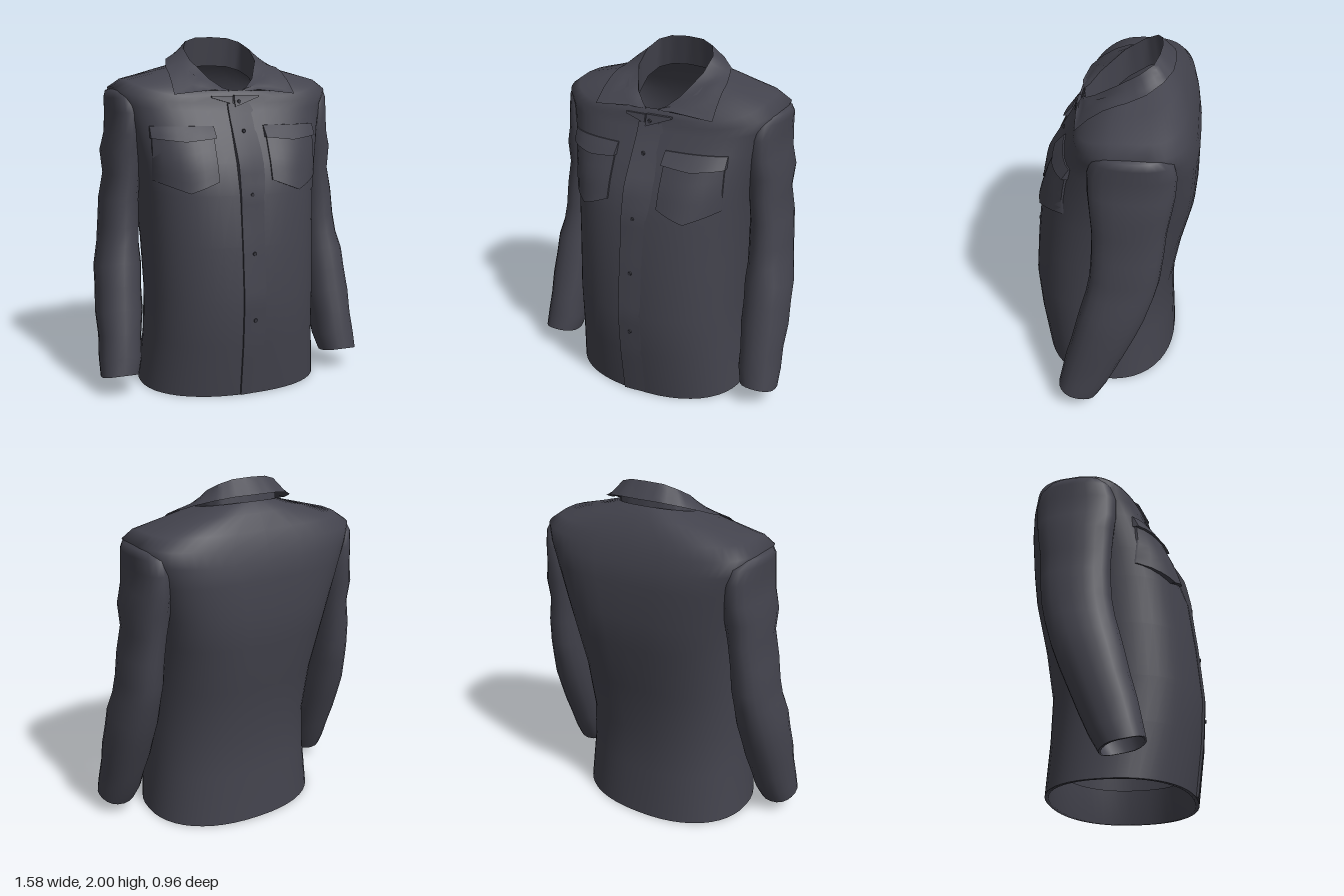
import * as THREE from 'three';
import { toCreasedNormals } from 'three/addons/utils/BufferGeometryUtils.js';

const cloth = new THREE.MeshStandardMaterial({ color: 0x43434d, side: THREE.DoubleSide });
cloth.name = 'charcoal cloth';
const buttonMat = new THREE.MeshStandardMaterial({ color: 0x34343c });
buttonMat.name = 'dark button';

const lerp = THREE.MathUtils.lerp;

// Grid of points (rows of equal length) to an indexed geometry
function gridGeometry(rows, wrap) {
  const n = rows[0].length, idx = [];
  for (let i = 0; i < rows.length - 1; i++) {
    for (let j = 0; j < (wrap ? n : n - 1); j++) {
      const k = (j + 1) % n, a = i * n + j, b = i * n + k, c = a + n, d = b + n;
      idx.push(a, b, d, a, d, c);
    }
  }
  const g = new THREE.BufferGeometry();
  g.setAttribute('position', new THREE.Float32BufferAttribute(rows.flat(2), 3));
  g.setIndex(idx);
  g.computeVertexNormals();
  return g;
}

// Squarish ring: side height, half width, front z, back z, front/back height, front/back roundness
function ring({ y, w, zf, zb, yf = y, yb = y, pf = 1, pb = 1, cx = 0 }, n) {
  const c = (zf + zb) / 2, pts = [];
  for (let j = 0; j < n; j++) {
    const t = (j / n) * Math.PI * 2, s = Math.sin(t), u = Math.cos(t);
    const p = u > 0 ? pf : pb, a = Math.abs(u);
    pts.push([
      cx + w * Math.sign(s) * Math.abs(s) ** p,
      y + ((u > 0 ? yf : yb) - y) * a ** 1.3,
      c + (u > 0 ? zf - c : zb - c) * a ** p,
    ]);
  }
  return pts;
}
const loft = (rings, n) => gridGeometry(rings.map((r) => ring(r, n)), true);

function mesh(name, geometry, material = cloth) {
  const m = new THREE.Mesh(geometry, material);
  m.name = name;
  return m;
}

export function createModel() {
  const jacket = new THREE.Group();
  jacket.name = 'jacket';

  // Body, from hem to neckline
  const body = [
    [0, 0.53, 0.42, -0.39, 0, 0, 0.88, 0.88],
    [0.3, 0.5, 0.46, -0.37, 0.3, 0.3, 0.87, 0.85],
    [0.55, 0.495, 0.476, -0.365, 0.55, 0.55, 0.86, 0.85],
    [0.85, 0.5, 0.45, -0.41, 0.85, 0.85, 0.82, 0.8],
    [1.13, 0.515, 0.415, -0.465, 1.13, 1.13, 0.78, 0.7],
    [1.3, 0.54, 0.36, -0.475, 1.3, 1.3, 0.72, 0.64],
    [1.5, 0.58, 0.275, -0.473, 1.48, 1.5, 0.67, 0.58],
    [1.62, 0.615, 0.22, -0.455, 1.58, 1.6, 0.67, 0.55],
    [1.71, 0.645, 0.205, -0.43, 1.62, 1.68, 0.67, 0.55],
    [1.755, 0.58, 0.195, -0.4, 1.65, 1.75, 0.67, 0.6],
    [1.8, 0.4, 0.19, -0.35, 1.67, 1.83, 0.75, 0.75],
    [1.84, 0.24, 0.175, -0.29, 1.69, 1.88, 0.9, 0.9],
  ].map(([y, w, zf, zb, yf, yb, pf, pb]) => ({ y, w, zf, zb, yf, yb, pf, pb }));
  const torso = mesh('body', loft(body, 48));
  jacket.add(torso);

  // Hem facing on the inside
  const hem = { ...body[0], w: 0.51, zf: 0.4, zb: -0.37 };
  jacket.add(mesh('hemFacing', loft([body[0], hem, { ...hem, w: 0.485, y: 0.2, yf: 0.2, yb: 0.2 }], 48)));

  // Surface probes used to lay details on the body
  const ray = new THREE.Raycaster();
  const probe = (x, y, z, dx, dy, dz) => {
    ray.set(new THREE.Vector3(x, y, z), new THREE.Vector3(dx, dy, dz));
    return ray.intersectObject(torso)[0]?.point;
  };
  const frontZ = (x, y) => {
    const p = probe(x, y, 5, 0, 0, -1);
    return p && p.z > 0 ? p.z : 0.185;
  };
  const topY = (x, z) => probe(x, 5, z, 0, -1, 0)?.y ?? 0;

  // Raised panel following the chest, with turned-down edges
  function panel(name, x0, x1, bottom, top, off, nx = 8, ny = 6) {
    const steps = (n) => [0, ...Array.from({ length: n + 1 }, (_, i) => i / n), 1];
    const us = steps(nx), vs = steps(ny);
    const rows = vs.map((v, i) => us.map((u, j) => {
      const edge = i === 0 || j === 0 || i === vs.length - 1 || j === us.length - 1;
      const x = lerp(x0, x1, u), y = lerp(bottom(u), top(u), v);
      return [x, y, frontZ(x, y) + (edge ? -0.006 : off(u, v))];
    }));
    jacket.add(mesh(name, toCreasedNormals(gridGeometry(rows, false), 0.7)));
  }

  // Front overlap, standing away a little at the chest and fading into the body
  panel('buttonPlacket', -0.062, 0.12, () => 0.003, () => 1.62,
    (u, v) => (1 - u) * (0.014 + 0.022 * Math.exp(-(((v - 0.8) / 0.09) ** 2))) - 0.005 * u, 6, 30);

  // Chest pockets with flaps
  for (const [side, cx] of [['left', 0.297], ['right', -0.332]]) {
    const tent = (u) => 1 - Math.abs(2 * u - 1);
    panel(side + 'Pocket', cx - 0.16, cx + 0.16, (u) => 1.205 - 0.06 * tent(u), () => 1.45,
      (u, v) => 0.012 + 0.02 * Math.sin(Math.PI * u) * (1 - v * 0.6));
    panel(side + 'PocketFlap', cx - 0.168, cx + 0.168, (u) => 1.435 - 0.018 * tent(u), () => 1.5,
      (u, v) => 0.008 + 0.026 * (1 - v), 8, 3);
  }

  // Small lapels under the collar
  panel('leftLapel', -0.02, 0.13, (u) => 1.6 + 0.055 * u, () => 1.665, () => 0.018, 4, 3);
  panel('rightLapel', -0.15, -0.03, (u) => 1.65 - 0.035 * u, () => 1.66, () => 0.012, 4, 3);

  // Buttons
  for (const y of [1.63, 1.47, 1.13, 0.81, 0.44]) {
    const b = mesh('button', new THREE.CylinderGeometry(0.01, 0.012, 0.008, 12), buttonMat);
    b.rotation.x = Math.PI / 2;
    b.position.set(0.005, y, frontZ(0, y) + (y > 1.6 ? 0.02 : y > 1.4 ? 0.015 : 0.009));
    jacket.add(b);
  }

  // Collar: fold line and outer edge for one half, mirrored
  const fold = [[0, 2, -0.245], [0.1, 1.995, -0.235], [0.17, 1.972, -0.21], [0.205, 1.93, -0.14],
    [0.2, 1.86, -0.03], [0.13, 1.755, 0.1], [0.04, 1.68, 0.18]];
  const outer = [[0, 1.92, -0.32], [0.12, 1.918, -0.31], [0.22, 1.9, -0.265], [0.3, 1.868, -0.185],
    [0.342, 1.81, -0.04], [0.36, 1.67, frontZ(0.36, 1.67) + 0.015], [0.13, 1.695, 0.2]];
  const mix = (a, b, t) => a.map((v, i) => lerp(v, b[i], t));
  const spread = (half) => {
    const full = [...half.slice(1).reverse().map(([x, y, z]) => [-x, y, z]), ...half], out = [];
    for (let i = 0; i < full.length - 1; i++)
      for (let k = 0; k < 3; k++) out.push(mix(full[i], full[i + 1], k / 3));
    return [...out, full[full.length - 1]];
  };
  const foldRow = spread(fold), outerRow = spread(outer);
  const fall = [1, 0.75, 0.5, 0.25, 0].map((t) => foldRow.map((p, j) => {
    const [x, y, z] = mix(p, outerRow[j], t);
    return [x, Math.max(y, Math.min(topY(x, z) + 0.012, y + 0.06)), z];
  }));
  jacket.add(mesh('collar', toCreasedNormals(gridGeometry(fall, false), 0.6)));
  // Stand reaching down inside the neckline
  const standFoot = foldRow.map(([x, y, z]) => [x * 1.06, y - 0.17, z - (z < 0 ? 0.025 : 0.02)]);
  jacket.add(mesh('collarStand', gridGeometry([standFoot, fall[4]], false)));

  // Sleeves: height, centre x, half width, front z, back z
  const arm = [
    [0.105, 0.685, 0.107, 0.265, 0.035],
    [0.2, 0.672, 0.12, 0.245, -0.02],
    [0.32, 0.665, 0.118, 0.22, -0.075],
    [0.45, 0.657, 0.132, 0.185, -0.13],
    [0.58, 0.65, 0.128, 0.155, -0.185],
    [0.7, 0.642, 0.132, 0.125, -0.23],
    [0.82, 0.63, 0.115, 0.1, -0.275],
    [0.93, 0.62, 0.112, 0.08, -0.3],
    [1.08, 0.612, 0.107, 0.07, -0.315],
    [1.22, 0.592, 0.098, 0.07, -0.325],
    [1.35, 0.588, 0.115, 0.08, -0.345],
    [1.45, 0.575, 0.098, 0.09, -0.36],
    [1.57, 0.572, 0.094, 0.09, -0.365],
    [1.65, 0.577, 0.093, 0.065, -0.345],
    [1.69, 0.59, 0.075, 0.02, -0.29],
    [1.705, 0.6, 0.02, -0.06, -0.2],
  ];
  for (const [side, s] of [['left', 1], ['right', -1]]) {
    const rings = arm.map(([y, x, w, zf, zb], i) => {
      const tilt = i < 6 ? 0.03 : 0;
      return { y, w, zf, zb, cx: s * x, yf: y + tilt, yb: y - tilt, pf: 0.9, pb: 0.9 };
    });
    jacket.add(mesh(side + 'Sleeve', loft(rings, 20)));
    // Turned-in cuff
    const inset = (r, d) => ({ ...r, w: r.w - d, zf: r.zf - d, zb: r.zb + d });
    jacket.add(mesh(side + 'Cuff', loft([rings[0], inset(rings[0], 0.012), inset(rings[1], 0.015)], 20)));
  }

  return jacket;
}
